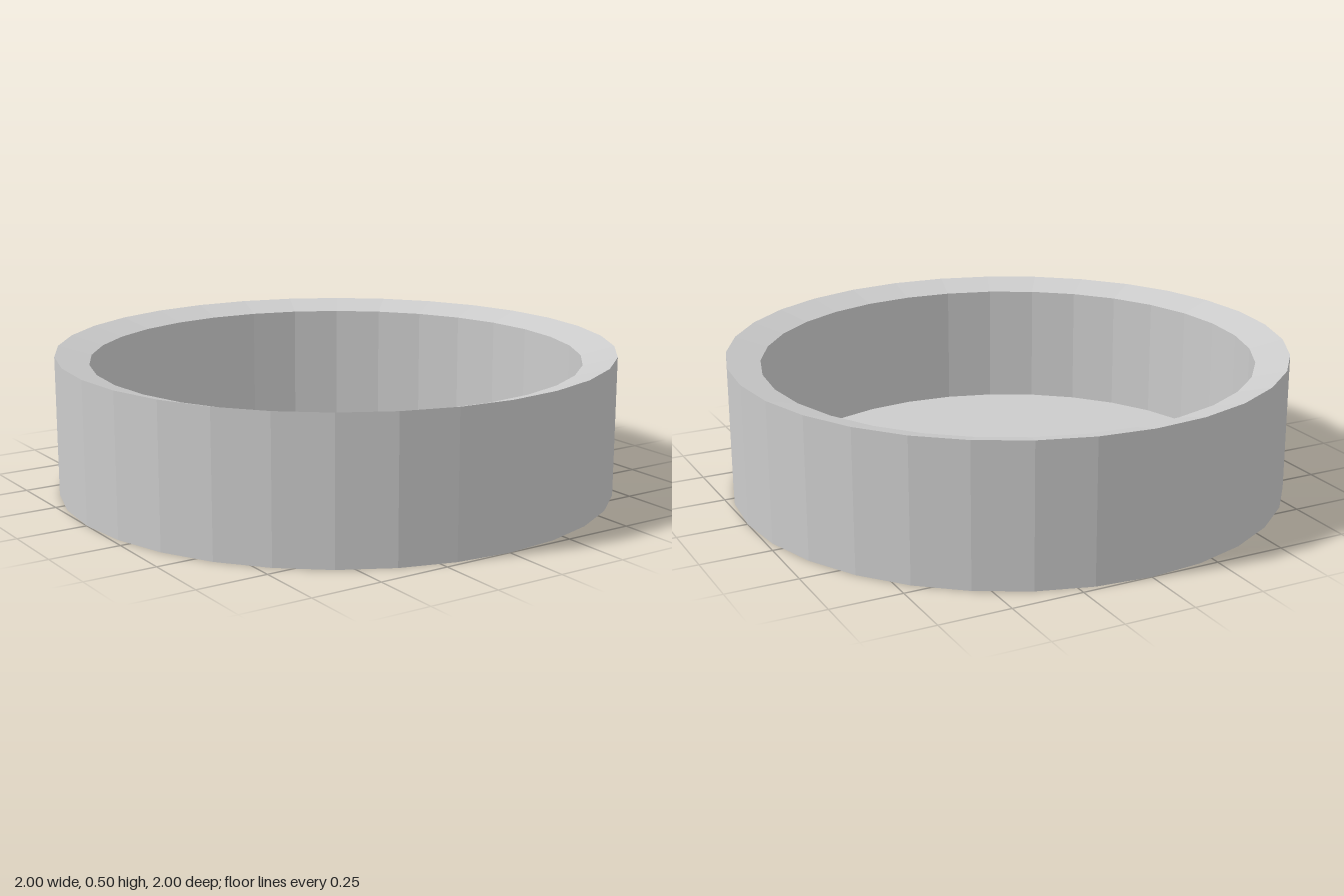
import * as THREE from 'three';

const SIDES = 32;
const material = new THREE.MeshStandardMaterial({ color: 0xcccccc, flatShading: true });

function part(name, geometry) {
  const mesh = new THREE.Mesh(geometry, material);
  mesh.name = name;
  return mesh;
}

// Flat disc at height y, facing up or down
function disc(name, radius, y, up) {
  const geometry = new THREE.CircleGeometry(radius, SIDES);
  geometry.rotateX(up ? -Math.PI / 2 : Math.PI / 2);
  geometry.translate(0, y, 0);
  return part(name, geometry);
}

export function createModel() {
  const group = new THREE.Group();
  group.name = 'roundTray';

  // Outer wall, rim sloping gently inward, then inner wall down to the floor
  const profile = [[1, 0], [1, 0.5], [0.88, 0.467], [0.88, 0.025]]
    .map(([r, y]) => new THREE.Vector2(r, y));
  group.add(part('wall', new THREE.LatheGeometry(profile, SIDES)));

  // Thin base
  group.add(disc('floor', 0.88, 0.025, true));
  group.add(disc('underside', 1, 0, false));
  return group;
}
